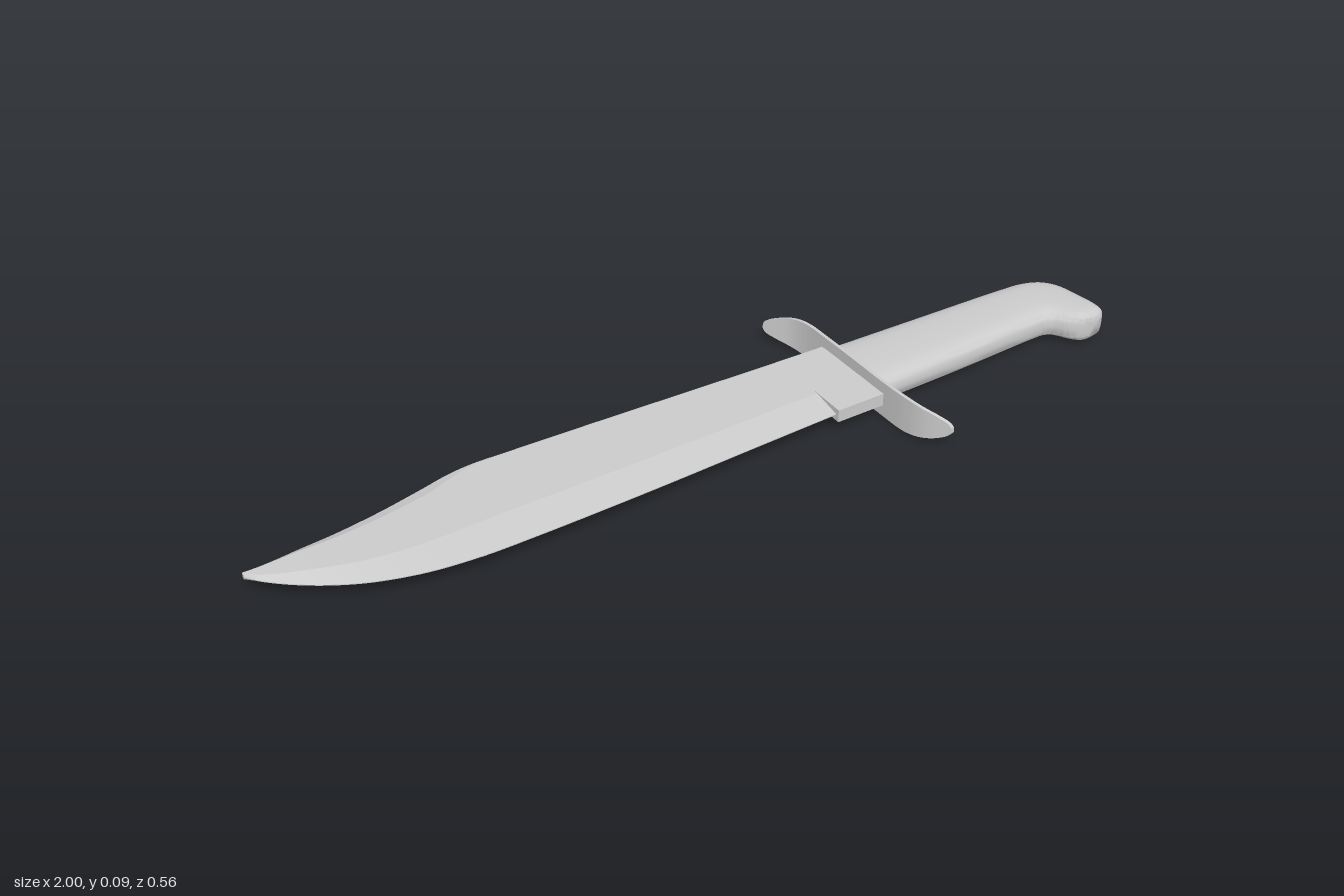
import * as THREE from 'three';
import { toCreasedNormals } from 'three/addons/utils/BufferGeometryUtils.js';

const MID = 0.043; // height of the knife's centre plane

// Skin a list of equal-length rings (counter-clockwise about the travel direction) and cap both ends.
function loft(rings, crease) {
  const n = rings[0].length, pos = [], idx = [];
  rings.forEach(r => r.forEach(p => pos.push(...p)));
  for (let i = 0; i < rings.length - 1; i++) {
    for (let j = 0; j < n; j++) {
      const a = i * n + j, b = i * n + (j + 1) % n;
      idx.push(a, b, b + n, a, b + n, a + n);
    }
  }
  [0, rings.length - 1].forEach((i, end) => {
    const c = pos.length / 3;
    pos.push(...[0, 1, 2].map(k => rings[i].reduce((s, p) => s + p[k], 0) / n));
    for (let j = 0; j < n; j++) {
      const a = i * n + j, b = i * n + (j + 1) % n;
      end ? idx.push(c, a, b) : idx.push(c, b, a);
    }
  });
  const g = new THREE.BufferGeometry();
  g.setAttribute('position', new THREE.Float32BufferAttribute(pos, 3));
  g.setIndex(idx);
  return toCreasedNormals(g, crease);
}

// Smooth samples through a few triples of numbers.
function sample(points, count) {
  const curve = new THREE.CatmullRomCurve3(points.map(p => new THREE.Vector3(...p)));
  return Array.from({ length: count + 1 }, (_, i) => curve.getPoint(i / count).toArray());
}

// Clip-point blade: flat spine, flat sides and a ground cutting edge.
function bladeGeometry() {
  const stations = [ // x, spine z, edge z
    [-1, -0.072, -0.062], [-0.975, -0.073, -0.033], [-0.93, -0.075, 0.006], [-0.87, -0.08, 0.046],
    [-0.8, -0.087, 0.08], [-0.7, -0.104, 0.109], [-0.6, -0.127, 0.121], [-0.55, -0.137, 0.123],
    [-0.5, -0.141, 0.123], [-0.4, -0.139, 0.122], [-0.2, -0.134, 0.117], [0.05, -0.126, 0.107],
    [0.26, -0.12, 0.099], [0.375, -0.118, 0.095],
  ];
  const rings = sample(stations, 78).map(([x, s, e]) => {
    const t = 0.014 * Math.min(1, 0.45 + (x + 1) * 5);
    const clip = THREE.MathUtils.smoothstep(x, -0.62, -0.46); // 0 on the swedged clip, 1 on the full spine
    const h = e - s;
    const half = [
      [t * (0.45 + 0.5 * clip), s],
      [t, s + h * (0.12 - 0.1 * clip)],
      [t, s + h * 0.68],
      [0.001, e],
    ];
    const lower = half.map(([y, z]) => [-y, z]).reverse();
    return [...half, ...lower].map(([y, z]) => [x, MID + y, z]);
  });
  return loft(rings, 0.12);
}

// Thin S-curved guard with rounded ends.
function guardGeometry() {
  const path = sample([ // z, x, half height
    [-0.28, 0.325, 0.006], [-0.275, 0.328, 0.015], [-0.25, 0.345, 0.028], [-0.22, 0.362, 0.037],
    [-0.18, 0.372, 0.042], [-0.1, 0.376, 0.042], [0, 0.377, 0.042], [0.1, 0.377, 0.042],
    [0.18, 0.381, 0.042], [0.22, 0.391, 0.037], [0.25, 0.407, 0.028], [0.272, 0.423, 0.015],
    [0.278, 0.427, 0.006],
  ], 60);
  const rings = path.map(([z, x, h]) =>
    [[1, -1], [1, 1], [-1, 1], [-1, -1]].map(([u, v]) => [x + u * 0.004, MID + v * h, z]));
  return loft(rings, 0.5);
}

// Rounded grip whose sections turn downward into the hooked pommel.
function gripGeometry() {
  const back = [ // x, z, half thickness
    [0.375, -0.098, 0.036], [0.6, -0.092, 0.038], [0.86, -0.086, 0.038], [0.915, -0.081, 0.038],
    [0.955, -0.065, 0.038], [0.981, -0.033, 0.038], [0.993, 0.025, 0.038], [1, 0.095, 0.037],
    [0.997, 0.113, 0.034], [0.985, 0.125, 0.026],
  ];
  const belly = [
    [0.375, 0.091, 0], [0.6, 0.084, 0], [0.83, 0.073, 0], [0.865, 0.074, 0],
    [0.88, 0.082, 0], [0.89, 0.095, 0], [0.9, 0.108, 0], [0.913, 0.119, 0],
    [0.925, 0.126, 0], [0.945, 0.13, 0],
  ];
  const low = sample(belly, 54), sides = 32;
  const rings = sample(back, 54).map(([bx, bz, t], i) => {
    const [lx, lz] = low[i];
    return Array.from({ length: sides }, (_, j) => {
      const a = j / sides * Math.PI * 2;
      const round = v => Math.sign(v) * Math.abs(v) ** 0.62; // squared-off oval
      const k = 0.5 + 0.5 * round(Math.sin(a));
      return [bx + (lx - bx) * k, MID + t * round(Math.cos(a)), bz + (lz - bz) * k];
    });
  });
  return loft(rings, 0.8);
}

export function createModel() {
  const model = new THREE.Group();
  model.name = 'knife';
  const material = new THREE.MeshStandardMaterial({ color: 0xcccccc });
  const add = (name, geometry) => {
    const mesh = new THREE.Mesh(geometry, material);
    mesh.name = name;
    model.add(mesh);
    return mesh;
  };
  add('blade', bladeGeometry());
  // Unground block between the cutting edge and the guard
  add('ricasso', new THREE.BoxGeometry(0.12, 0.03, 0.09)).position.set(0.315, MID, 0.063);
  add('guard', guardGeometry());
  add('grip', gripGeometry());
  return model;
}
